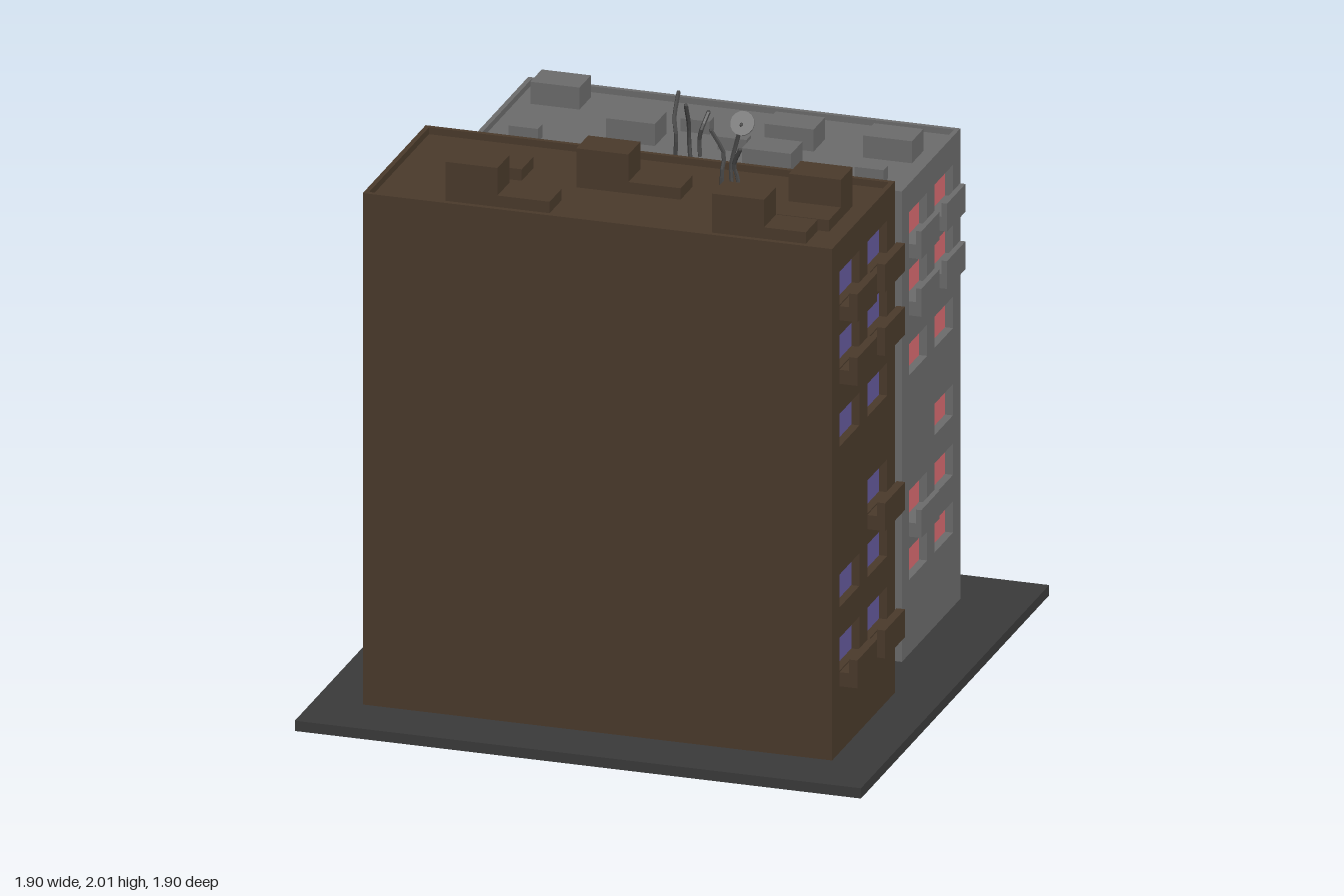
import * as THREE from 'three';

const paint = (color) => new THREE.MeshStandardMaterial({ color, flatShading: true });
const BASE = paint(0x3a3a3a), BROWN = paint(0x4a3a2b), GREY = paint(0x6b6b6b);
const PURPLE = paint(0x655a9c), PINK = paint(0xd86b70), METAL = paint(0x4a4a4a), DISH = paint(0x747474);
const RECESS = 0.03;

function add(parent, name, geometry, material) {
  const mesh = new THREE.Mesh(geometry, material);
  mesh.name = name;
  parent.add(mesh);
  return mesh;
}

// Box given by its limits on each axis
function block(parent, name, [x0, x1], [y0, y1], [z0, z1], material) {
  const mesh = add(parent, name, new THREE.BoxGeometry(x1 - x0, y1 - y0, z1 - z0), material);
  mesh.position.set((x0 + x1) / 2, (y0 + y1) / 2, (z0 + z1) / 2);
  return mesh;
}

function rectangle(Type, x0, x1, y0, y1) {
  const path = new Type();
  path.moveTo(x0, y0);
  path.lineTo(x1, y0);
  path.lineTo(x1, y1);
  path.lineTo(x0, y1);
  path.closePath();
  return path;
}

// Solid block whose +x wall has recessed windows
function windowedBlock(parent, name, x, y, z, windows, wallMat, glassMat) {
  const inner = x[1] - RECESS;
  block(parent, name + 'Core', [x[0], inner], y, z, wallMat);
  const wall = rectangle(THREE.Shape, -z[1], -z[0], y[0], y[1]);
  for (const w of windows) {
    wall.holes.push(rectangle(THREE.Path, -w.z[1], -w.z[0], w.y[0], w.y[1]));
    block(parent, name + 'Window', [inner - 0.005, inner + 0.003], w.y, w.z, glassMat);
  }
  const geometry = new THREE.ExtrudeGeometry(wall, { depth: RECESS, bevelEnabled: false });
  geometry.rotateY(Math.PI / 2);
  add(parent, name + 'WindowWall', geometry, wallMat).position.x = inner;
}

// Rim around the flat roof
function parapet(parent, x, [y0, y1], z, material) {
  const t = 0.016;
  const rim = rectangle(THREE.Shape, x[0], x[1], -z[1], -z[0]);
  rim.holes.push(rectangle(THREE.Path, x[0] + t, x[1] - t, -z[1] + t, -z[0] - t));
  const geometry = new THREE.ExtrudeGeometry(rim, { depth: y1 - y0, bevelEnabled: false });
  geometry.rotateX(-Math.PI / 2);
  add(parent, 'parapet', geometry, material).position.y = y0;
}

function tower(name, s) {
  const group = new THREE.Group();
  group.name = name;
  const windows = [];
  // Each row: window top, then per column 0 = none, 1 = window, 2 = window with balcony
  for (const [top, ...kinds] of s.rows) {
    kinds.forEach((kind, i) => {
      if (!kind) return;
      const z = s.columns[i];
      windows.push({ y: [top - s.windowHeight, top], z });
      if (kind < 2) return;
      const wall = s.x[1], out = wall + s.balconyDepth, y0 = top - s.balconyDrop;
      block(group, 'balconyFloor', [wall - RECESS / 2, out - s.railDepth], [y0, y0 + 0.048], z, s.wall);
      block(group, 'balconyRail', [out - s.railDepth, out], [y0, y0 + 0.095], z, s.wall);
    });
  }
  windowedBlock(group, 'building', s.x, [0.035, s.roof], s.z, windows, s.wall, s.glass);
  parapet(group, s.x, [s.roof, s.top], s.z, s.wall);
  // Roof boxes: x, z, size x, size z, top
  for (const [x, z, w, d, top] of s.boxes) {
    block(group, 'roofBox', [x, x + w], [s.roof, top], [z, z + d], s.wall);
  }
  // Bent antenna stalks
  for (const points of s.stalks) {
    const curve = new THREE.CatmullRomCurve3(points.map((p) => new THREE.Vector3(...p)));
    add(group, 'antennaStalk', new THREE.TubeGeometry(curve, 8, 0.007, 6), METAL);
    const tip = add(group, 'antennaTip', new THREE.SphereGeometry(0.007, 6, 4), METAL);
    tip.position.set(...points[points.length - 1]);
  }
  return group;
}

export function createModel() {
  const model = new THREE.Group();
  model.name = 'apartmentBlocks';
  block(model, 'groundSlab', [-0.95, 0.95], [0, 0.035], [-0.95, 0.95], BASE);

  // Taller front tower
  const H = 1.89, L = 1.796, w = 0.175, d = 0.12;
  const front = tower('frontTower', {
    x: [-0.79, 0.785], z: [0.11, 0.745], roof: 1.757, top: 1.78, wall: BROWN, glass: PURPLE,
    columns: [[0.47, 0.67], [0.19, 0.39]],
    rows: [[1.675, 2, 2], [1.458, 2, 2], [1.19, 1, 1], [0.86, 0, 2], [0.642, 1, 1], [0.426, 2, 2]],
    windowHeight: 0.112, balconyDrop: 0.165, balconyDepth: 0.06, railDepth: 0.028,
    boxes: [
      [-0.538, 0.305, w, d, L], [-0.18, 0.305, w, d, H], [-0.005, 0.305, w, d, L],
      [0.533, 0.305, w, d, H], [0.533, 0.425, w, d, L],
      [-0.538, 0.55, w, d, H], [-0.363, 0.55, w, d, L],
      [0.357, 0.55, w, d, H], [0.532, 0.55, 0.14, d, L],
    ],
    stalks: [
      [[0.268, 1.75, 0.305], [0.272, 1.83, 0.312], [0.275, 1.88, 0.302], [0.235, 1.96, 0.312]],
      [[0.28, 1.75, 0.238], [0.278, 1.82, 0.24], [0.293, 1.89, 0.238], [0.315, 1.965, 0.245]],
      [[0.32, 1.75, 0.305], [0.322, 1.8, 0.302], [0.312, 1.85, 0.312], [0.34, 1.915, 0.335]],
    ],
  });
  model.add(front);

  // Tilted dish on the tallest stalk
  const dish = add(front, 'antennaDish', new THREE.CylinderGeometry(0.04, 0.04, 0.006, 16), DISH);
  dish.position.set(0.317, 1.969, 0.242);
  dish.rotation.x = Math.PI / 3;

  // Lower rear tower
  const B = 1.695, S = 1.664;
  model.add(tower('rearTower', {
    x: [-0.73, 0.72], z: [-0.745, -0.155], roof: 1.62, top: 1.64, wall: GREY, glass: PINK,
    columns: [[-0.41, -0.225], [-0.67, -0.485]],
    rows: [[1.543, 2, 2], [1.347, 2, 2], [1.093, 1, 1], [0.795, 0, 1], [0.592, 2, 1], [0.395, 1, 1]],
    windowHeight: 0.107, balconyDrop: 0.155, balconyDepth: 0.042, railDepth: 0.018,
    boxes: [
      [-0.665, -0.685, 0.165, 0.115, B], [0.16, -0.567, 0.165, 0.115, B],
      [0.49, -0.567, 0.165, 0.115, B], [-0.335, -0.454, 0.165, 0.115, B],
      [0.16, -0.339, 0.165, 0.115, B], [-0.135, -0.537, 0.098, 0.047, S],
      [0.028, -0.42, 0.098, 0.047, S], [-0.633, -0.303, 0.098, 0.047, S],
      [0.527, -0.303, 0.098, 0.047, S],
    ],
    stalks: [
      [[-0.085, 1.615, -0.29], [-0.08, 1.69, -0.282], [-0.09, 1.74, -0.295], [-0.085, 1.82, -0.322]],
      [[-0.028, 1.615, -0.27], [-0.032, 1.69, -0.268], [-0.028, 1.74, -0.255], [-0.026, 1.82, -0.218]],
      [[-0.005, 1.615, -0.298], [-0.008, 1.68, -0.303], [0, 1.71, -0.295], [0.016, 1.765, -0.322]],
    ],
  }));

  // Raised link between the towers
  const link = new THREE.Group();
  link.name = 'link';
  model.add(link);
  const linkWindows = [];
  for (let i = 0; i < 8; i++) {
    const y = 0.615 + i * 0.1006;
    linkWindows.push({ y: [y - 0.025, y + 0.025], z: [-0.085, -0.012] });
  }
  windowedBlock(link, 'link', [0, 0.18], [0.54, 1.39], [-0.155, 0.11], linkWindows, BROWN, PINK);
  return model;
}
